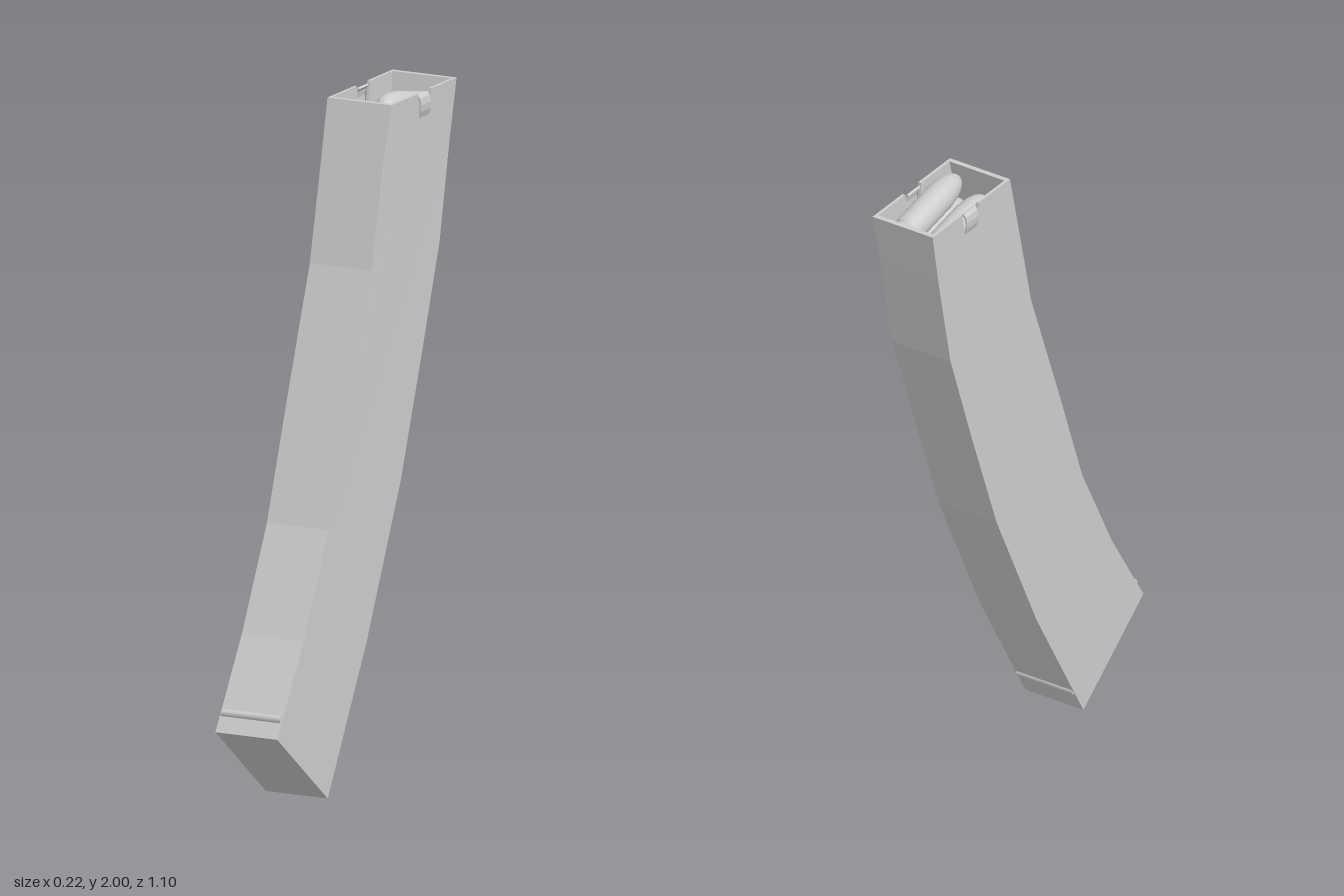
import * as THREE from 'three';

const material = new THREE.MeshStandardMaterial({ color: 0xcccccc, side: THREE.DoubleSide });

// Side outline of the curved body as [z, y], top to bottom
const front = [[-0.145, 1.99], [-0.1, 1.81], [-0.03, 1.52], [0.115, 1.13], [0.233, 0.8], [0.387, 0.5], [0.512, 0.3]];
const back = [[-0.545, 1.99], [-0.508, 1.81], [-0.447, 1.52], [-0.335, 1.2], [-0.208, 0.855], [0, 0.42], [0.188, 0.09]];
const HALF = 0.102, WALL = 0.009;

// Extrudes a [z, y] outline from x0 to x1, widening slightly towards the mouth
function slab(points, x0, x1) {
  const shape = new THREE.Shape(points.map(([z, y]) => new THREE.Vector2(z, y)));
  const geo = new THREE.ExtrudeGeometry(shape, { depth: x1 - x0, bevelEnabled: false });
  geo.rotateY(-Math.PI / 2).translate(x1, 0, 0);
  const p = geo.attributes.position;
  for (let i = 0; i < p.count; i++) {
    p.setX(i, p.getX(i) * (1 + 0.035 * Math.max(0, (p.getY(i) - 1.81) / 0.18)));
  }
  geo.computeVertexNormals();
  return geo;
}

// One cartridge along +y: rim, extraction groove, case and rounded nose
function roundGeometry() {
  const pts = [[0, -0.145], [0.041, -0.145], [0.044, -0.142], [0.044, -0.133], [0.038, -0.13],
    [0.038, -0.122], [0.045, -0.116], [0.045, 0.055], [0.043, 0.056]];
  for (let i = 1; i <= 8; i++) {
    const a = (i / 8) * Math.PI / 2;
    pts.push([0.043 * Math.cos(a), 0.056 + 0.089 * Math.sin(a)]);
  }
  return new THREE.LatheGeometry(pts.map(([x, y]) => new THREE.Vector2(Math.max(x, 0), y)), 20);
}

export function createModel() {
  const model = new THREE.Group();
  const add = (name, geo, parent = model) => {
    const mesh = new THREE.Mesh(geo, material);
    mesh.name = name;
    parent.add(mesh);
    return mesh;
  };

  // Side walls with a notch in the top edge
  const notch = [[-0.39, 1.99], [-0.377, 1.925], [-0.315, 1.925], [-0.308, 1.99]];
  const side = [back[0], ...notch, ...front, ...[...back].reverse().slice(0, -1)];
  add('leftWall', slab(side, HALF - WALL, HALF));
  add('rightWall', slab(side, -HALF, -HALF + WALL));

  // Front and back walls, fitted between the sides
  const strip = (edge, t) => [...edge, ...edge.map(([z, y]) => [z + t, y]).reverse()];
  add('frontWall', slab(strip(front, -0.016), -HALF + WALL, HALF - WALL));
  add('backWall', slab(strip(back, 0.016), -HALF + WALL, HALF - WALL));

  // Floor plate with a bead at its front and back edges
  add('floorPlate', slab([[0.512, 0.3], [0.55, 0.24], [0.24, 0], [0.188, 0.09]], -HALF, HALF));
  for (const [name, z, y] of [['frontBead', 0.514, 0.291], ['backBead', 0.198, 0.084]]) {
    const bead = add(name, new THREE.CylinderGeometry(0.012, 0.012, 0.196, 12));
    bead.rotation.z = Math.PI / 2;
    bead.position.set(0, y, z);
  }

  // Curved tabs rising from the notches and bending inwards
  const outer = [[0.104, 1.915], [0.111, 1.935], [0.112, 1.955], [0.108, 1.974], [0.099, 1.984]];
  const inner = outer.map(([x, y]) => [x - 0.006, y - 0.004]).reverse();
  for (const s of [1, -1]) {
    const shape = new THREE.Shape([...outer, ...inner].map(([x, y]) => new THREE.Vector2(s * x, y)));
    const tab = new THREE.ExtrudeGeometry(shape, { depth: 0.06, bevelEnabled: false });
    add(s > 0 ? 'leftTab' : 'rightTab', tab.translate(0, 0, -0.376));
  }

  // Two staggered columns of rounds following the curve
  const spine = new THREE.CatmullRomCurve3([[-0.345, 1.99], [-0.24, 1.52], [0.012, 0.83], [0.195, 0.46], [0.35, 0.195]]
    .map(([z, y]) => new THREE.Vector3(0, y, z)));
  const length = spine.getLength();
  const geo = roundGeometry();
  const rounds = new THREE.Group();
  rounds.name = 'rounds';
  model.add(rounds);
  for (let i = 0; i < 40; i++) {
    const u = (0.05 + i * 0.045) / length;
    if (u > 0.96) break;
    const t = spine.getTangentAt(u);
    const round = add('round', geo, rounds);
    round.position.copy(spine.getPointAt(u));
    round.position.x = i % 2 ? -0.045 : 0.045;
    round.rotation.x = Math.atan2(-t.y, t.z);
  }
  return model;
}
